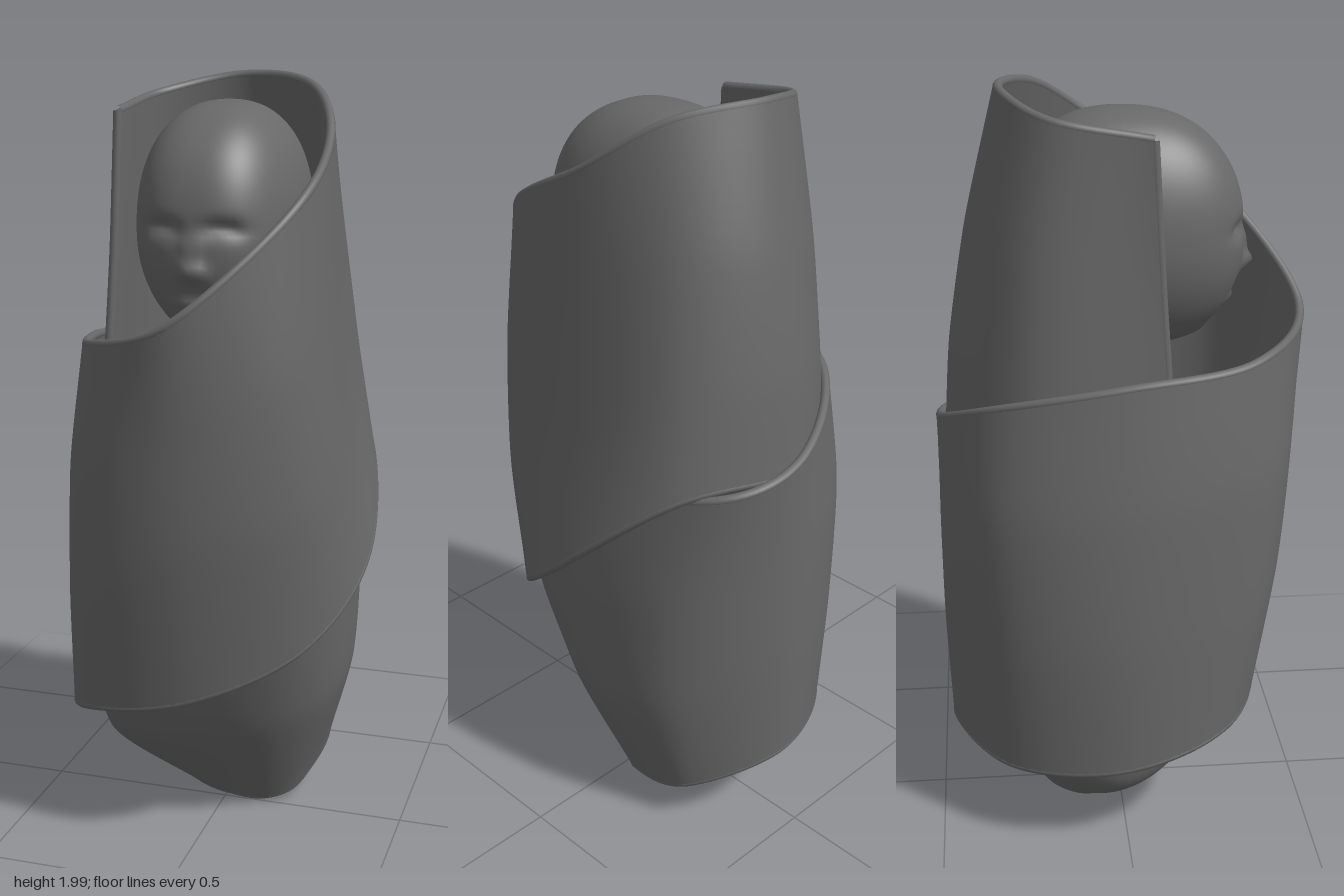
import * as THREE from 'three';

const grey = new THREE.MeshStandardMaterial({ color: 0x686868 });
const cloth = new THREE.MeshStandardMaterial({ color: 0x686868, side: THREE.DoubleSide });
const curve = pts => new THREE.CatmullRomCurve3(pts.map(p => new THREE.Vector3(...p)), false, 'catmullrom', 0.5);

// The blanket winds -x, back, +x, front, one point per eighth of a turn.
const topEdge = curve([
  [-0.265, 1.90, 0.06], [-0.23, 1.94, -0.18], [-0.03, 1.985, -0.29], [0.18, 1.96, -0.19],
  [0.27, 1.83, 0.0], [0.24, 1.67, 0.28], [0.0, 1.43, 0.465], [-0.25, 1.35, 0.32],
  [-0.33, 1.32, 0.0], [-0.25, 1.25, -0.31], [0.0, 1.14, -0.46], [0.23, 1.09, -0.39],
  [0.33, 1.03, -0.03], [0.27, 0.9, 0.26], [0.0, 0.9, 0.39], [-0.28, 0.87, 0.29],
  [-0.34, 0.8, 0.0], [-0.25, 0.8, -0.28], [0.0, 0.8, -0.4], [0.2, 0.8, -0.3]]);
const chest = curve([
  [-0.275, 1.55, 0.08], [-0.25, 1.6, -0.23], [0.0, 1.65, -0.37], [0.22, 1.65, -0.26],
  [0.30, 1.45, 0.0], [0.27, 1.3, 0.3], [0.0, 1.15, 0.44], [-0.275, 1.05, 0.345],
  [-0.375, 1.0, 0.0], [-0.29, 0.95, -0.325], [0.0, 0.85, -0.465], [0.27, 0.78, -0.33],
  [0.335, 0.68, -0.03], [0.255, 0.6, 0.23], [0.0, 0.6, 0.32], [-0.28, 0.55, 0.25],
  [-0.345, 0.5, -0.03], [-0.24, 0.55, -0.28], [0.0, 0.55, -0.38], [0.2, 0.55, -0.28]]);
const hip = curve([
  [-0.29, 1.25, 0.1], [-0.265, 1.3, -0.25], [0.0, 1.35, -0.42], [0.255, 1.35, -0.3],
  [0.34, 1.1, 0.0], [0.29, 0.95, 0.29], [0.0, 0.85, 0.42], [-0.29, 0.7, 0.325],
  [-0.395, 0.65, 0.0], [-0.3, 0.6, -0.315], [0.0, 0.55, -0.465], [0.27, 0.45, -0.3],
  [0.31, 0.38, -0.03], [0.2, 0.33, 0.15], [0.0, 0.3, 0.2], [-0.25, 0.24, 0.13],
  [-0.32, 0.2, -0.05], [-0.2, 0.28, -0.26], [0.0, 0.28, -0.33], [0.17, 0.25, -0.24]]);
const lowEdge = curve([
  [-0.31, 0.95, 0.11], [-0.275, 1.02, -0.26], [0.0, 1.1, -0.44], [0.29, 1.08, -0.32],
  [0.395, 0.8, 0.0], [0.285, 0.59, 0.25], [0.0, 0.45, 0.36], [-0.3, 0.37, 0.28],
  [-0.395, 0.29, 0.0], [-0.285, 0.25, -0.305], [0.0, 0.25, -0.455], [0.22, 0.15, -0.30],
  [0.2, 0.06, -0.08], [0.12, 0.025, -0.01], [0.01, 0.03, 0.0], [-0.08, 0.03, -0.04],
  [-0.11, 0.025, -0.1], [-0.05, 0.02, -0.18], [0.05, 0.02, -0.22], [0.13, 0.02, -0.16]]);

// A taut line down the cloth through the four guide curves
const strand = t => new THREE.CatmullRomCurve3(
  [topEdge, chest, hip, lowEdge].map(c => c.getPoint(t)), false, 'catmullrom', 0.35);

// One face of the cloth, moved along its normals by half the thickness
function sheet(nu, nv, offset) {
  const pos = [], idx = [];
  for (let i = 0; i <= nu; i++) {
    const line = strand(i / nu);
    for (let j = 0; j <= nv; j++) {
      pos.push(...line.getPoint(j / nv).toArray());
      if (i < nu && j < nv) {
        const a = i * (nv + 1) + j, b = a + nv + 1;
        idx.push(a, b, a + 1, b, b + 1, a + 1);
      }
    }
  }
  const g = new THREE.BufferGeometry();
  g.setAttribute('position', new THREE.Float32BufferAttribute(pos, 3));
  g.setIndex(idx);
  g.computeVertexNormals();
  const p = g.attributes.position, n = g.attributes.normal;
  for (let i = 0; i < p.count; i++)
    p.setXYZ(i, p.getX(i) + n.getX(i) * offset, p.getY(i) + n.getY(i) * offset, p.getZ(i) + n.getZ(i) * offset);
  return g;
}

// Sphere reshaped into a skull with a softly modelled face
function headGeometry() {
  const g = new THREE.SphereGeometry(1, 96, 80);
  const p = g.attributes.position;
  const bump = (x, y, cx, cy, sx, sy) => Math.exp(-(((x - cx) / sx) ** 2) - ((y - cy) / sy) ** 2);
  const box = (c, e) => Math.sign(c) * Math.abs(c) ** e;
  for (let i = 0; i < p.count; i++) {
    const ny = p.getY(i), low = Math.max(0, -ny);
    const flat = Math.hypot(p.getX(i), p.getZ(i)) || 1;
    const dx = p.getX(i) / flat, dz = p.getZ(i) / flat;
    const ring = Math.max(0, 1 - Math.abs(ny) ** 2.3) ** (1 / 2.3);
    const x = box(dx, dz > 0 ? 0.75 : 1) * ring * 0.21 * (1 - 0.25 * low * low);
    const y = 1.62 + ny * (ny > 0 ? 0.31 : 0.3);
    let z = box(dz, 0.9) * ring * (dz > 0 ? 0.315 : 0.285 * (1 - 0.35 * low));
    if (dz > 0) {
      const f = Math.min(1, dz * ring * 2), ax = Math.abs(x);
      z += f * (0.034 * bump(x, y, 0, 1.535, 0.032, 0.026)  // nose tip
        + 0.014 * bump(x, y, 0, 1.585, 0.02, 0.04)          // nose bridge
        - 0.03 * bump(ax, y, 0.075, 1.635, 0.045, 0.022)    // eye sockets
        + 0.012 * bump(ax, y, 0.075, 1.625, 0.028, 0.014)   // eyelids
        + 0.018 * bump(x, y, 0, 1.45, 0.06, 0.016)          // upper lip
        + 0.018 * bump(x, y, 0, 1.415, 0.05, 0.014)         // lower lip
        + 0.03 * bump(x, y, 0, 1.36, 0.06, 0.03));          // chin
    }
    p.setXYZ(i, x, y, z);
  }
  g.computeVertexNormals();
  return g;
}

export function createModel() {
  const model = new THREE.Group();
  const add = (name, geo, mat = grey) => {
    const m = new THREE.Mesh(geo, mat);
    m.name = name;
    model.add(m);
    return m;
  };

  // Thick wrapped blanket with rounded hems
  const half = 0.011;
  add('blanketOneFace', sheet(200, 30, half), cloth);
  add('blanketOtherFace', sheet(200, 30, -half), cloth);
  add('upperHem', new THREE.TubeGeometry(topEdge, 260, half + 0.001, 10));
  add('lowerHem', new THREE.TubeGeometry(lowEdge, 260, half + 0.001, 10));
  add('startHem', new THREE.TubeGeometry(strand(0), 24, half + 0.001, 10));
  add('endHem', new THREE.TubeGeometry(strand(1), 24, half + 0.001, 10));

  // Head, ears and neck
  add('head', headGeometry()).position.x = 0.01;
  for (const s of [-1, 1]) {
    const ear = add(s > 0 ? 'leftEar' : 'rightEar', new THREE.SphereGeometry(1, 20, 16));
    ear.scale.set(0.014, 0.055, 0.032);
    ear.position.set(0.01 + s * 0.212, 1.59, -0.02);
    ear.rotation.z = -s * 0.15;
  }
  const neck = add('neck', new THREE.CylinderGeometry(0.11, 0.12, 0.25, 32));
  neck.position.set(0.01, 1.3, -0.03);
  return model;
}
